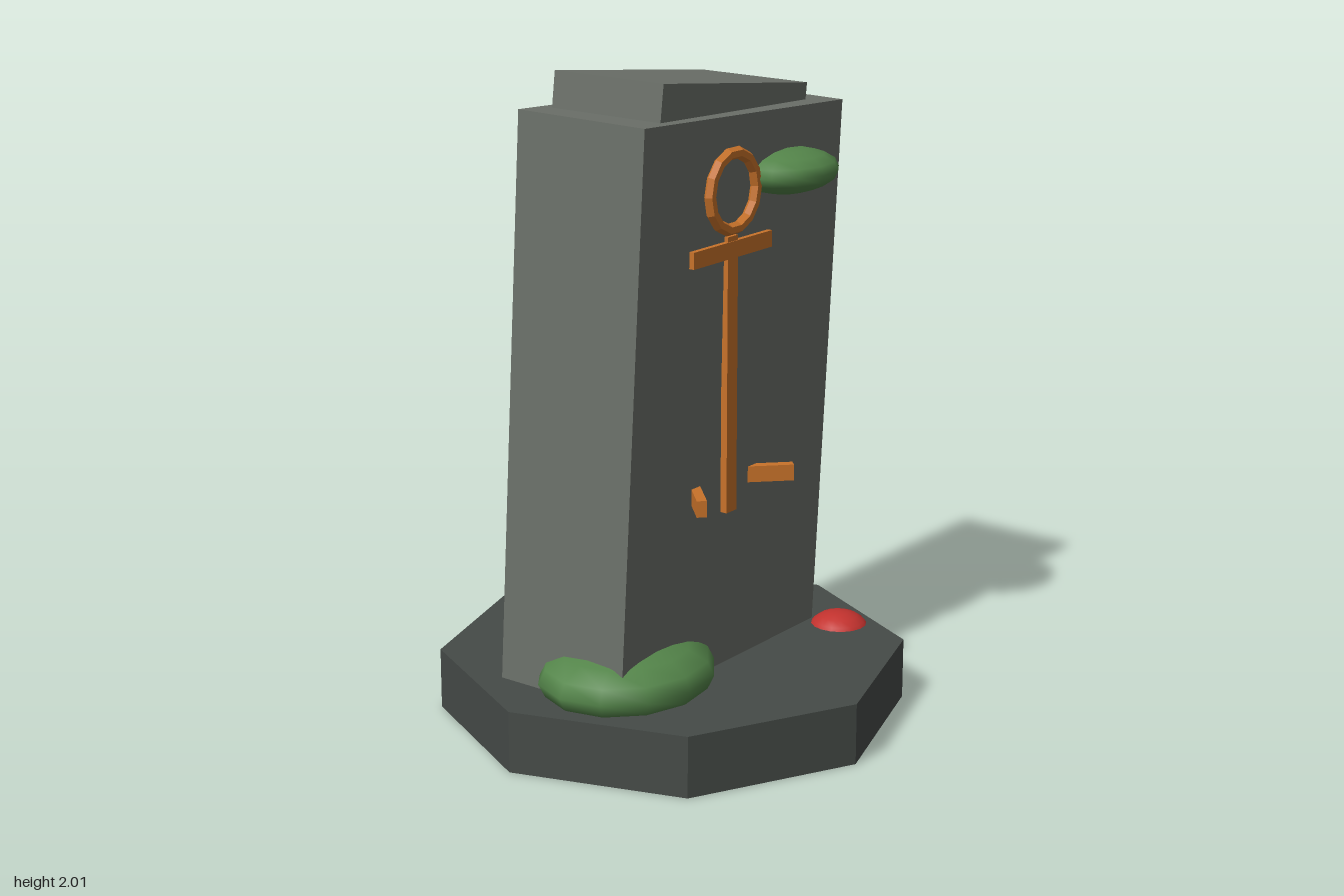
import * as THREE from 'three';

const flat = (name, color) => {
  const m = new THREE.MeshStandardMaterial({ color });
  m.name = name;
  return m;
};

export function createModel() {
  const stone = flat('stone', 0x6b7069);
  const darkStone = flat('darkStone', 0x454a47);
  const bronze = flat('bronze', 0xc8722a);
  const moss = flat('moss', 0x54854a);
  const red = flat('red', 0xc2322e);

  const model = new THREE.Group();
  model.name = 'standingStone';

  const add = (name, geometry, material, x, y, z, parent = model) => {
    const mesh = new THREE.Mesh(geometry, material);
    mesh.name = name;
    mesh.position.set(x, y, z);
    parent.add(mesh);
    return mesh;
  };
  const faceted = (geometry) => {
    const g = geometry.toNonIndexed();
    g.computeVertexNormals();
    return g;
  };

  // Leaning block: placed by the centre of its top face and its own side and up directions
  const leaningBlock = (name, [w, h, d], top, side, up) => {
    const xAxis = new THREE.Vector3(...side).normalize();
    const zAxis = xAxis.clone().cross(new THREE.Vector3(...up)).normalize();
    const yAxis = zAxis.clone().cross(xAxis);
    const geometry = new THREE.BoxGeometry(w, h, d).translate(0, -h / 2, 0);
    const mesh = add(name, geometry, stone, ...top);
    mesh.quaternion.setFromRotationMatrix(new THREE.Matrix4().makeBasis(xAxis, yAxis, zAxis));
  };

  // Octagonal plinth
  add('plinth', faceted(new THREE.CylinderGeometry(0.72, 0.72, 0.19, 8)), darkStone, 0, 0.095, 0);

  // Tilted slab and the loose cap stone on top
  leaningBlock('slab', [0.98, 1.75, 0.455], [0.044, 1.876, 0.01], [0.977, -0.046, -0.077], [0.05, 1, 0.0145]);
  leaningBlock('capStone', [0.76, 0.12, 0.38], [0.055, 1.955, -0.005], [0.75, -0.093, -0.091], [0.123, 1, 0]);

  // Bronze emblem set into the front of the slab
  const emblem = new THREE.Group();
  emblem.name = 'emblem';
  emblem.position.set(-0.02, 0, 0.242);
  emblem.rotation.y = 0.078;
  model.add(emblem);
  add('emblemRing', faceted(new THREE.TorusGeometry(0.113, 0.019, 6, 14)), bronze, 0, 1.657, 0.006, emblem);
  add('emblemShaft', new THREE.BoxGeometry(0.05, 0.84, 0.022), bronze, 0, 1.105, -0.003, emblem);
  add('emblemCrossbar', new THREE.BoxGeometry(0.385, 0.05, 0.024), bronze, 0, 1.485, -0.001, emblem);
  for (const s of [-1, 1]) {
    const fluke = add('emblemFluke', new THREE.BoxGeometry(0.16, 0.05, 0.03), bronze, s * 0.175, 0.765, 0.014, emblem);
    fluke.rotation.y = -s * 0.78;
  }

  // Moss clumps and small mushroom
  const blob = (name, material, [x, y, z], [rx, ry, rz], around, rings) =>
    add(name, new THREE.SphereGeometry(1, around, rings), material, x, y, z).scale.set(rx, ry, rz);
  blob('lowerMoss', moss, [-0.34, 0.235, 0.12], [0.29, 0.11, 0.25], 12, 8);
  blob('upperMoss', moss, [0.263, 1.675, 0.22], [0.183, 0.067, 0.138], 12, 8);
  blob('mushroomCap', red, [0.494, 0.158, 0.264], [0.1, 0.071, 0.1], 16, 10);
  add('mushroomStem', new THREE.CylinderGeometry(0.03, 0.03, 0.16, 8), stone, 0.494, 0.079, 0.264);

  return model;
}
